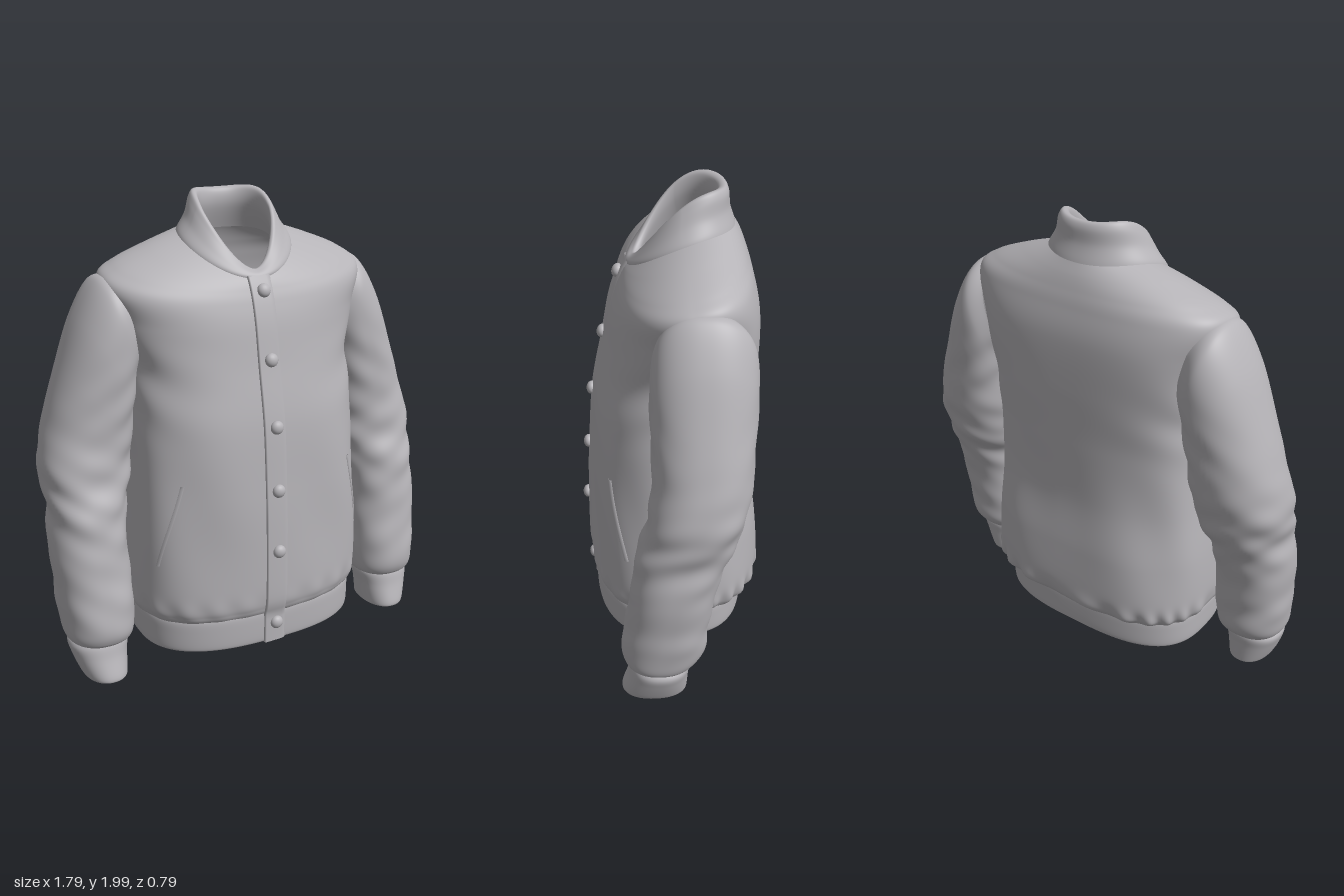
import * as THREE from 'three';

const cloth = new THREE.MeshStandardMaterial({ color: 0xb5b3b7, side: THREE.DoubleSide });
cloth.name = 'grey cloth';

// Smooth interpolation between the rows of a profile table, v from 0 to 1
function sample(table, v) {
  const t = Math.min(Math.max(v, 0), 1) * (table.length - 1);
  const i = Math.min(Math.floor(t), table.length - 2), f = t - i;
  const row = k => table[Math.min(Math.max(k, 0), table.length - 1)];
  return row(i).map((p1, k) => {
    const p0 = row(i - 1)[k], p2 = row(i + 1)[k], p3 = row(i + 2)[k];
    const m1 = (p2 - p0) / 2, m2 = (p3 - p1) / 2;
    return p1 + f * (m1 + f * (3 * (p2 - p1) - 2 * m1 - m2 + f * (2 * (p1 - p2) + m1 + m2)));
  });
}

// Skin a grid of points; point(v, u) returns [x, y, z]; cells starting at a hole are left open
function skin(point, rows, cols, closed = true, hole = () => false) {
  const pos = [], idx = [], w = closed ? cols : cols + 1;
  for (let i = 0; i <= rows; i++)
    for (let j = 0; j < w; j++) pos.push(...point(i / rows, j / cols));
  for (let i = 0; i < rows; i++)
    for (let j = 0; j < cols; j++) {
      const a = i * w + j, b = i * w + (j + 1) % w;
      if (!hole(...pos.slice(a * 3, a * 3 + 3))) idx.push(a, b, a + w, b, b + w, a + w);
    }
  const g = new THREE.BufferGeometry();
  g.setAttribute('position', new THREE.Float32BufferAttribute(pos, 3));
  g.setIndex(idx);
  g.computeVertexNormals();
  return g;
}

const spow = (a, p) => Math.sign(a) * Math.abs(a) ** p;
const bump = (x, c, w) => Math.exp(-(((x - c) / w) ** 2));

// Body ring row: yFront, ySide, yBack, half width, zFront, zBack, front and back squareness
function bodyPoint(table, v, u, grow = 0) {
  const [yF, yS, yB, w, zF, zB, nF, nB] = sample(table, v);
  const s = Math.sin(u * Math.PI * 2), c = Math.cos(u * Math.PI * 2);
  const n = c > 0 ? nF : nB, Z = spow(c, 2 / n);
  return [
    (w + grow) * spow(s, 2 / n),
    yS + (yF - yB) / 2 * Z + ((yF + yB) / 2 - yS) * Z * Z,
    (zF + zB) / 2 + ((zF - zB) / 2 + grow) * Z,
  ];
}
const flat = (y, w, zF, zB) => [y, y, y, w, zF, zB, 2.6, 2.9];

const torso = [
  flat(0.22, 0.50, 0.34, -0.315),
  flat(0.25, 0.53, 0.355, -0.36),
  flat(0.32, 0.545, 0.365, -0.387),
  flat(0.55, 0.54, 0.36, -0.375),
  flat(0.80, 0.52, 0.352, -0.345),
  flat(1.08, 0.505, 0.33, -0.348),
  [1.33, 1.33, 1.33, 0.50, 0.28, -0.355, 2.5, 3.3],
  [1.49, 1.52, 1.55, 0.545, 0.25, -0.35, 2.4, 3.3],
  [1.58, 1.66, 1.68, 0.59, 0.225, -0.325, 2.2, 2.8],
  [1.63, 1.72, 1.745, 0.53, 0.205, -0.305, 2.1, 2.4],
  [1.66, 1.78, 1.795, 0.38, 0.19, -0.285, 2, 2.2],
  [1.68, 1.82, 1.84, 0.245, 0.175, -0.26, 2, 2.1],
];

// Cloth folds: gathers above the hem, soft drapes and creases at the armholes
function torsoFold(y, u) {
  const a = u * Math.PI * 2, back = 0.5 - 0.5 * Math.cos(a);
  const gathers = bump(y, 0.28, 0.045) * (0.003 + 0.007 * back) * Math.sin(a * 22 + 2 * Math.sin(a * 3));
  const drape = 0.005 * bump(y, 0.7, 0.35) * Math.sin(a * 7 + y * 4);
  const arm = 0.006 * bump(y, 1.3, 0.2) * Math.sin(y * 26 + 5 * Math.cos(a)) * Math.sin(a) ** 2;
  return gathers + drape + arm;
}
const torsoPoint = (v, u) => bodyPoint(torso, v, u, torsoFold(sample(torso, v)[0], u));
// Opening of the body into each sleeve
const armhole = (x, y, z) => Math.abs(x) > 0.44 && ((y - 1.43) / 0.18) ** 2 + ((z + 0.09) / 0.13) ** 2 < 1;

const hem = [
  flat(0.24, 0.485, 0.32, -0.295), flat(0.11, 0.49, 0.325, -0.30),
  flat(0.088, 0.50, 0.338, -0.31), flat(0.10, 0.51, 0.346, -0.32),
  flat(0.17, 0.512, 0.348, -0.322), flat(0.225, 0.51, 0.346, -0.32),
  flat(0.25, 0.495, 0.335, -0.31),
];

const collar = [
  [1.65, 1.79, 1.82, 0.25, 0.17, -0.265, 2, 2.1],
  [1.675, 1.825, 1.85, 0.243, 0.182, -0.257, 1.95, 2.1],
  [1.69, 1.87, 1.91, 0.208, 0.175, -0.238, 1.85, 2.2],
  [1.70, 1.92, 1.97, 0.184, 0.16, -0.232, 1.75, 2.4],
  [1.705, 1.945, 1.995, 0.167, 0.146, -0.215, 1.7, 2.4],
  [1.695, 1.93, 1.98, 0.15, 0.132, -0.188, 1.7, 2.3],
  [1.68, 1.87, 1.92, 0.152, 0.128, -0.185, 1.7, 2.2],
  [1.64, 1.78, 1.82, 0.19, 0.13, -0.22, 1.8, 2.1],
];

// Sleeve ring row: outer x, y, inner x, y, zFront, zBack
const sleeve = [
  [0.83, 0.17, 0.61, 0.17, 0.20, -0.04],
  [0.862, 0.20, 0.58, 0.19, 0.228, -0.07],
  [0.875, 0.27, 0.565, 0.25, 0.24, -0.11],
  [0.884, 0.42, 0.56, 0.38, 0.22, -0.125],
  [0.892, 0.60, 0.565, 0.54, 0.195, -0.15],
  [0.878, 0.76, 0.56, 0.68, 0.175, -0.20],
  [0.892, 0.92, 0.525, 0.80, 0.135, -0.25],
  [0.852, 1.10, 0.50, 0.93, 0.108, -0.283],
  [0.78, 1.32, 0.485, 1.06, 0.108, -0.295],
  [0.70, 1.53, 0.475, 1.18, 0.11, -0.305],
  [0.61, 1.675, 0.465, 1.27, 0.10, -0.30],
  [0.53, 1.69, 0.44, 1.32, 0.075, -0.26],
];
const cuff = [
  [0.78, 0.12, 0.645, 0.12, 0.185, 0.00],
  [0.785, 0.03, 0.635, 0.03, 0.225, -0.015],
  [0.80, 0.014, 0.622, 0.014, 0.238, -0.03],
  [0.815, 0.035, 0.617, 0.035, 0.24, -0.034],
  [0.842, 0.11, 0.608, 0.11, 0.215, -0.038],
  [0.853, 0.165, 0.597, 0.17, 0.20, -0.042],
  [0.82, 0.20, 0.62, 0.20, 0.18, -0.02],
];
function armPoint(table, v, u) {
  const [ox, oy, ix, iy, zF, zB] = sample(table, v);
  const a = u * Math.PI * 2, s = Math.sin(a), c = Math.cos(a), y = (oy + iy) / 2;
  const p = 2 / 2.25, S = spow(s, p), C = spow(c, p);
  return [
    (ox + ix) / 2 + (ox - ix) / 2 * S,
    y + (oy - iy) / 2 * S,
    (zF + zB) / 2 + (zF - zB) / 2 * C,
  ];
}

// Slanted creases at the elbow, above the cuff and under the arm
function sleevePoint(v, u) {
  const p = armPoint(sleeve, v, u), row = sample(sleeve, v);
  const s = Math.sin(u * Math.PI * 2), c = Math.cos(u * Math.PI * 2), y = p[1];
  const elbow = bump(y, 0.8, 0.22) * (0.6 * Math.sin(30 * y + 4 * c + 2 * s) + 0.4 * Math.sin(47 * y - 5 * s + c));
  const wrist = bump(y, 0.37, 0.12) * (0.5 * Math.sin(33 * y - 4 * s) + 0.4 * Math.sin(24 * y + 5 * c + 1));
  const pit = bump(y, 1.2, 0.16) * Math.sin(30 * y + 5 * s) * (0.5 - 0.5 * s);
  const k = 1 + 0.042 * elbow + 0.035 * wrist + 0.03 * pit;
  return [0, 1, 2].map(i => {
    const mid = [(row[0] + row[2]) / 2, (row[1] + row[3]) / 2, (row[4] + row[5]) / 2][i];
    return mid + (p[i] - mid) * k;
  });
}

// Front centre line of the body at a given height: z position
function frontZ(y) {
  if (y < 0.24) return 0.347;
  let lo = 0, hi = 1;
  for (let i = 0; i < 30; i++) {
    const m = (lo + hi) / 2;
    if (sample(torso, m)[0] < y) lo = m; else hi = m;
  }
  return torsoPoint(lo, 0)[2];
}

export function createModel() {
  const jacket = new THREE.Group();
  jacket.name = 'jacket';
  const add = (name, geo, parent = jacket) => {
    const m = new THREE.Mesh(geo, cloth);
    m.name = name;
    parent.add(m);
    return m;
  };

  add('body', skin(torsoPoint, 130, 200, true, armhole));
  add('hemBand', skin((v, u) => bodyPoint(hem, v, u), 30, 120));
  add('collar', skin((v, u) => bodyPoint(collar, v, u), 42, 100));

  // Button placket: stepped on its open edge, blending into the cloth on the other
  const section = [[-0.052, -0.02], [-0.052, 0.006], [-0.046, 0.011], [0.03, 0.008], [0.046, 0.003], [0.056, -0.006]];
  add('placket', skin((v, u) => {
    const y = 0.088 + v * 1.597, [x, d] = section[Math.round(u * 5)];
    return [x, y, frontZ(y) + d];
  }, 70, 5, false));

  // Domed snap buttons
  for (const y of [1.63, 1.355, 1.08, 0.805, 0.53, 0.18]) {
    const b = add('button', new THREE.SphereGeometry(0.029, 20, 14));
    b.scale.z = 0.75;
    b.position.set(0.003, y, frontZ(y) + 0.013);
    b.rotation.x = -Math.max(0, y - 0.9) * 0.5;
  }

  // Sleeves, cuffs and slanted pocket welts on both sides
  for (const side of [1, -1]) {
    const half = new THREE.Group();
    half.name = side > 0 ? 'leftSide' : 'rightSide';
    half.scale.x = side;
    add('sleeve', skin(sleevePoint, 130, 80), half);
    add('cuff', skin((v, u) => armPoint(cuff, v, u), 30, 60), half);
    add('pocketWelt', skin((v, u) => {
      const k = Math.round(u * 3), lift = [-0.003, 0.004, 0.004, -0.003][k];
      const p = torsoPoint(0.255 + v * 0.13, side * (0.163 - v * 0.042 + [0, 0.1, 0.9, 1][k] * 0.008));
      return [Math.abs(p[0]) + lift * 0.6, p[1], p[2] + lift];
    }, 24, 3, false), half);
    jacket.add(half);
  }
  return jacket;
}
